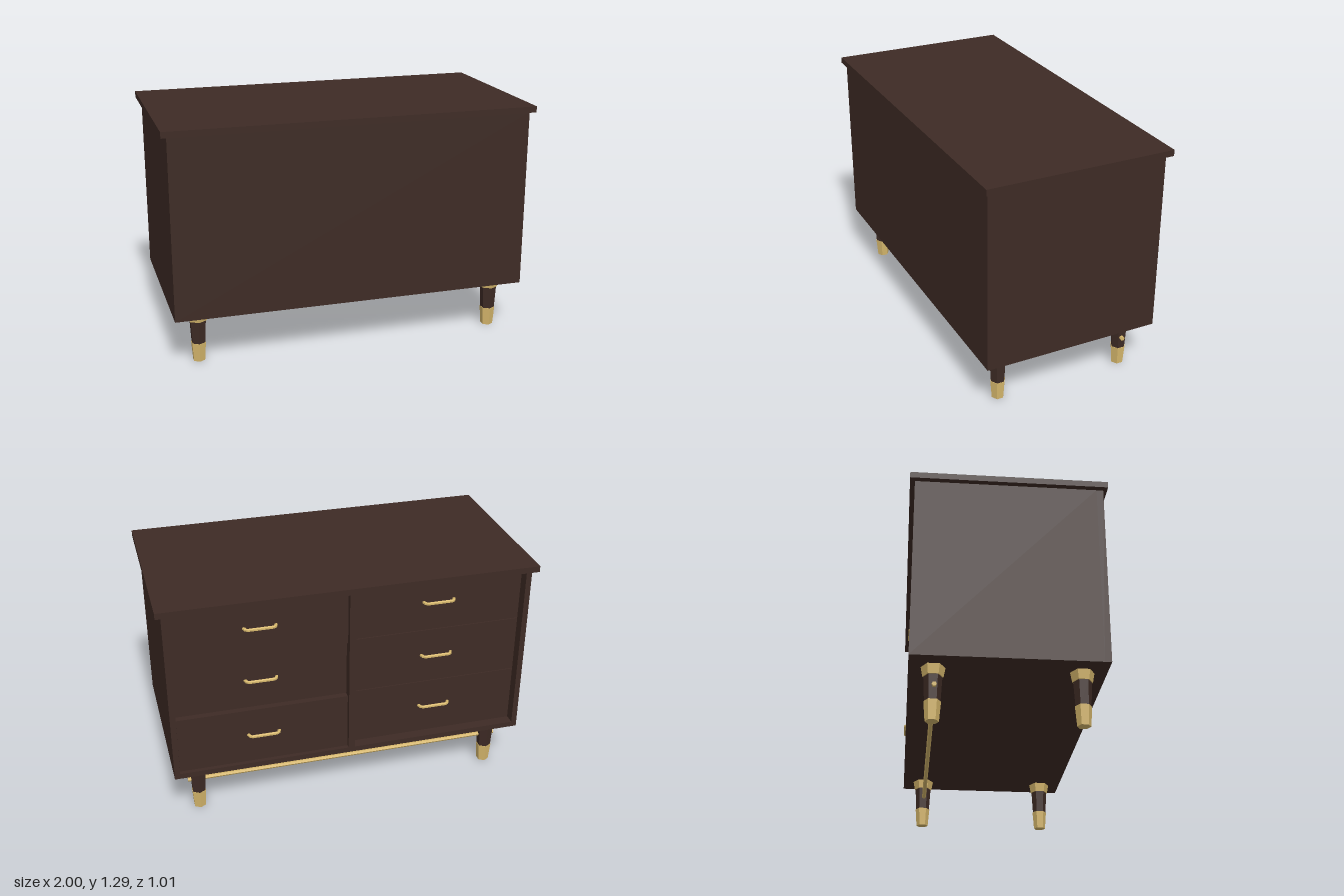
import * as THREE from 'three';

const wood = new THREE.MeshStandardMaterial({ color: 0x3e2b25, flatShading: true });
const brass = new THREE.MeshStandardMaterial({ color: 0xd6b76c, flatShading: true });

function add(parent, name, geometry, material, x = 0, y = 0, z = 0) {
  const mesh = new THREE.Mesh(geometry, material);
  mesh.name = name;
  mesh.position.set(x, y, z);
  parent.add(mesh);
  return mesh;
}

// Box given by its minimum and maximum on each axis
function panel(parent, name, [x0, x1], [y0, y1], [z0, z1]) {
  return add(parent, name, new THREE.BoxGeometry(x1 - x0, y1 - y0, z1 - z0), wood,
    (x0 + x1) / 2, (y0 + y1) / 2, (z0 + z1) / 2);
}

// Bar pull: straight grip with two splayed ends reaching back to the drawer
function handleGeometry() {
  const points = [[-0.086, 0.032], [-0.074, 0], [0.074, 0], [0.086, 0.032]]
    .map(([x, z]) => new THREE.Vector3(x, 0, z));
  const path = new THREE.CurvePath();
  for (let i = 0; i < 3; i++) path.add(new THREE.LineCurve3(points[i], points[i + 1]));
  return new THREE.TubeGeometry(path, 16, 0.009, 6, false);
}

// Six-sided tapered leg with brass collar and foot
function leg(x, z) {
  const group = new THREE.Group();
  group.name = 'leg';
  group.position.set(x, 0, z);
  const sections = [
    ['legCollar', 0.06, 0.051, 0.23, 0.28, brass],
    ['legShaft', 0.046, 0.039, 0.1, 0.23, wood],
    ['legFoot', 0.042, 0.034, 0, 0.103, brass],
  ];
  for (const [name, top, bottom, y0, y1, material] of sections) {
    add(group, name, new THREE.CylinderGeometry(top, bottom, y1 - y0, 6), material, 0, (y0 + y1) / 2, 0);
  }
  return group;
}

export function createModel() {
  const model = new THREE.Group();
  model.name = 'dresser';

  // Carcass, open on the drawer side
  panel(model, 'topBoard', [-1, 1], [1.257, 1.29], [-0.505, 0.505]);
  panel(model, 'closedPanel', [-0.97, 0.97], [0.28, 1.257], [0.45, 0.485]);
  panel(model, 'bottomBoard', [-0.94, 0.94], [0.28, 0.31], [-0.48, 0.45]);
  panel(model, 'divider', [-0.018, 0.018], [0.31, 1.257], [-0.48, 0.45]);
  for (const s of [-1, 1]) {
    panel(model, 'sidePanel', [s * 0.955 - 0.015, s * 0.955 + 0.015], [0.28, 1.257], [-0.48, 0.45]);
  }

  // Drawers, some pulled out a little further than others
  const rows = [[0.312, 0.632], [0.636, 0.951], [0.955, 1.255]];
  const fronts = { 1: [-0.46, -0.432, -0.456], '-1': [-0.425, -0.425, -0.425] };
  const pull = handleGeometry();
  for (const s of [-1, 1]) {
    rows.forEach(([y0, y1], i) => {
      const drawer = new THREE.Group();
      drawer.name = 'drawer';
      const front = fronts[s][i];
      panel(drawer, 'drawerBox', [s * 0.479 - 0.459, s * 0.479 + 0.459], [y0, y1], [front, 0.44]);
      add(drawer, 'drawerHandle', pull, brass, s * 0.48, 0.48 + i * 0.32, front - 0.023);
      model.add(drawer);
    });
  }

  // Legs and the rail joining the pair on the drawer side
  for (const x of [-0.835, 0.835]) {
    for (const z of [-0.36, 0.363]) model.add(leg(x, z));
  }
  const rail = add(model, 'legRail', new THREE.CylinderGeometry(0.012, 0.012, 1.78, 6), brass, 0, 0.172, -0.354);
  rail.rotation.z = Math.PI / 2;

  return model;
}
